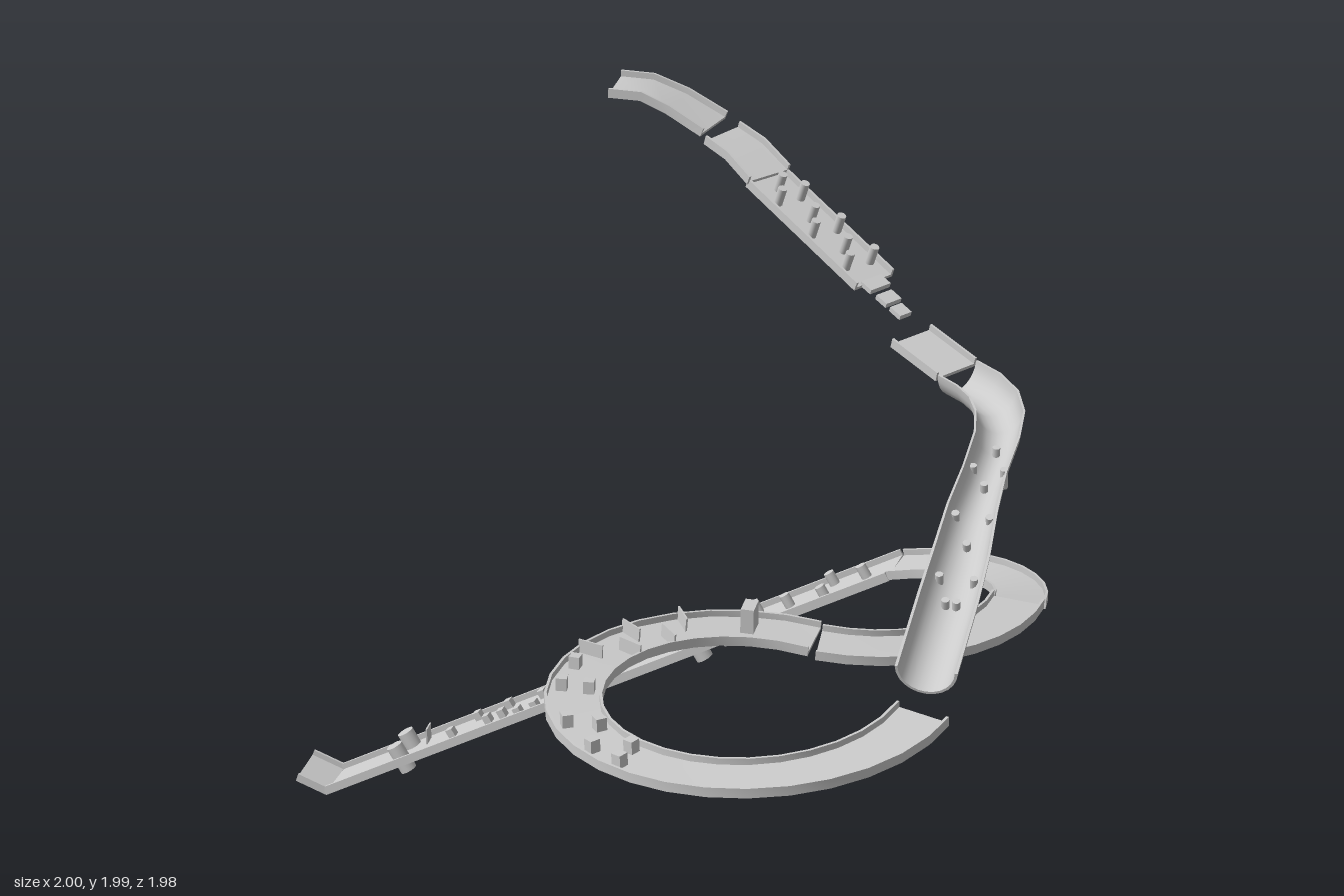
import * as THREE from 'three';
import { toCreasedNormals } from 'three/addons/utils/BufferGeometryUtils.js';

const mat = new THREE.MeshStandardMaterial({ color: 0xcccccc });
const rad = THREE.MathUtils.degToRad;
const vec = (a) => new THREE.Vector3(...a);

// Travel direction, level sideways axis and surface normal at a path point
function frame(path, i) {
  const a = path[Math.max(i - 1, 0)], b = path[Math.min(i + 1, path.length - 1)];
  const dir = b.clone().sub(a).normalize();
  const side = new THREE.Vector3(-dir.z, 0, dir.x).normalize();
  const up = side.clone().cross(dir);
  return { dir, side, up };
}

// Sweeps a closed counter-clockwise profile along a path, with end caps
function sweep(path, profile, scales) {
  const rings = path.map((p, i) => {
    const f = frame(path, i), s = scales ? scales[i] : 1;
    return profile.map(([u, v]) => p.clone().addScaledVector(f.side, u * s).addScaledVector(f.up, v));
  });
  const pos = [];
  const tri = (...pts) => pts.forEach((p) => pos.push(p.x, p.y, p.z));
  const n = profile.length;
  for (let i = 0; i < path.length - 1; i++) {
    for (let j = 0; j < n; j++) {
      const k = (j + 1) % n, [r, q] = [rings[i], rings[i + 1]];
      tri(r[j], q[j], r[k]);
      tri(r[k], q[j], q[k]);
    }
  }
  const first = rings[0], last = rings[rings.length - 1];
  const outline = profile.map(([u, v]) => new THREE.Vector2(u, v));
  for (const [a, b, c] of THREE.ShapeUtils.triangulateShape(outline, [])) {
    tri(first[a], first[b], first[c]);
    tri(last[a], last[c], last[b]);
  }
  const g = new THREE.BufferGeometry();
  g.setAttribute('position', new THREE.Float32BufferAttribute(pos, 3));
  return toCreasedNormals(g, 0.45);
}

// Shallow channel: flat floor with two low rims
function channelProfile(w, rim = 0.013) {
  const h = w / 2, t = 0.006, f = -0.002, b = -0.01;
  return [[-h, b], [h, b], [h, rim], [h - t, rim], [h - t, f], [-h + t, f], [-h + t, rim], [-h, rim]];
}

// Half-round gutter
function gutterProfile(r, t, n = 12) {
  const arc = (q) => Array.from({ length: n + 1 }, (_, i) => {
    const a = Math.PI + (Math.PI * i) / n;
    return [q * Math.cos(a), q * Math.sin(a)];
  });
  return [...arc(r), ...arc(r - t).reverse()];
}

// Level arc that drops evenly from y0 to y1
function arcPath(cx, cz, r, a0, a1, y0, y1, n) {
  return Array.from({ length: n + 1 }, (_, i) => {
    const a = rad(a0 + ((a1 - a0) * i) / n);
    return new THREE.Vector3(cx + r * Math.cos(a), y0 + ((y1 - y0) * i) / n, cz + r * Math.sin(a));
  });
}

export function createModel() {
  const root = new THREE.Group();
  root.name = 'marbleRun';

  const add = (name, geo) => {
    const m = new THREE.Mesh(geo, mat);
    m.name = name;
    root.add(m);
    return m;
  };
  const track = (name, path, w = 0.125) => add(name, sweep(path, channelProfile(w)));

  // Stands an obstacle on a path: t along it (0..1), s sideways, h above the floor
  const place = (name, geo, path, t, s, h) => {
    const x = t * (path.length - 1);
    const i = Math.min(Math.floor(x), path.length - 2);
    const { dir, side, up } = frame([path[i], path[i + 1]], 0);
    const m = add(name, geo);
    m.position.lerpVectors(path[i], path[i + 1], x - i).addScaledVector(side, s).addScaledVector(up, h);
    m.quaternion.setFromRotationMatrix(new THREE.Matrix4().makeBasis(side, up, dir.negate()));
  };

  // Upper tracks
  track('startPlatform', [[-0.205, 1.985, -0.932], [-0.125, 1.985, -0.932], [-0.05, 1.958, -0.93], [0.045, 1.92, -0.905]].map(vec));
  track('upperBend', [[0.065, 1.9, -0.905], [0.13, 1.88, -0.87], [0.2, 1.845, -0.815]].map(vec));
  const pegRamp = [[0.19, 1.835, -0.825], [0.5, 1.7, -0.61]].map(vec);
  track('pegRamp', pegRamp, 0.12);
  const rampPeg = new THREE.CylinderGeometry(0.011, 0.011, 0.055, 10);
  for (const [t, s] of [[0.12, 0], [0.22, 0.035], [0.24, -0.03], [0.42, 0], [0.53, 0.035], [0.56, -0.035], [0.72, 0], [0.84, 0.035], [0.86, -0.035]])
    place('rampPeg', rampPeg, pegRamp, t, s, 0.018);

  // Shrinking steps at the foot of the peg ramp
  [[0.505, 1.695, -0.6, 0.062], [0.543, 1.678, -0.567, 0.048], [0.577, 1.662, -0.54, 0.036]].forEach(([x, y, z, w]) => {
    const step = add('step', new THREE.BoxGeometry(0.036, 0.012, w));
    step.position.set(x, y, z);
    step.rotation.set(0, -0.61, -0.3, 'YXZ');
  });
  track('landingPlatform', [[0.607, 1.61, -0.525], [0.73, 1.58, -0.437]].map(vec));

  // Half-round gutter
  const gutter = [
    [0.735, 1.59, -0.43], [0.79, 1.587, -0.39], [0.835, 1.583, -0.335], [0.862, 1.577, -0.265], [0.873, 1.567, -0.17],
    [0.87, 1.545, -0.04], [0.868, 1.518, 0.09], [0.868, 1.47, 0.21], [0.868, 1.435, 0.35], [0.868, 1.385, 0.59],
  ].map(vec);
  const widths = [0.93, 0.93, 0.9, 0.85, 0.78, 0.75, 0.85, 0.95, 1, 1];
  add('gutter', sweep(gutter, gutterProfile(0.067, 0.006), widths));
  const gutterPeg = new THREE.CylinderGeometry(0.009, 0.009, 0.05, 10);
  for (const [t, sides] of [[0.44, [0]], [0.52, [-0.035, 0.035]], [0.56, [0]], [0.67, [-0.038, 0.038]], [0.73, [0]], [0.82, [-0.038, 0.038]], [0.87, [-0.012, 0.012]]])
    for (const s of sides) place('gutterPeg', gutterPeg, gutter, t, s, -0.064 + s * s * 9);

  // Large loop, then two halves of the return bend
  const loop = arcPath(0.49, 0.53, 0.39, 13, 277, 1.295, 1.165, 24);
  track('loop', loop);
  track('returnBendUpper', arcPath(0.545, -0.255, 0.385, 90, 2, 1.15, 1.115, 9));
  track('returnBendLower', arcPath(0.545, -0.255, 0.385, 0, -86, 1.1, 0.945, 9));

  // Square posts and thin fins around the loop
  const post = new THREE.BoxGeometry(0.024, 0.03, 0.024);
  for (const [x, z] of [[0.1, 0.47], [0.075, 0.578], [0.135, 0.578], [0.135, 0.743], [0.21, 0.743], [0.225, 0.83], [0.3, 0.83], [0.28, 0.905]]) {
    const a = THREE.MathUtils.radToDeg(Math.atan2(z - 0.53, x - 0.49));
    const t = ((a + 360) % 360 - 13) / 264;
    place('squarePost', post, loop, t, Math.hypot(x - 0.49, z - 0.53) - 0.39 > 0 ? -0.03 : 0.03, 0.012);
  }
  const fin = new THREE.BoxGeometry(0.06, 0.035, 0.004);
  [198, 207, 216, 225, 234].forEach((a, i) => place('fin', fin, loop, (a - 13) / 264, i % 2 ? 0.03 : -0.03, 0.012));
  const gate = add('gatePost', new THREE.BoxGeometry(0.03, 0.06, 0.05));
  gate.position.set(0.39, 1.205, 0.15);

  // Long straight ramp with an upturned end
  const ramp = [[0.57, 0.943, -0.64], [-0.92, 0.02, -0.78]].map(vec);
  track('longRamp', ramp, 0.13);
  track('endStop', [[-0.915, 0.02, -0.78], [-1, 0.05, -0.782]].map(vec), 0.13);
  const along = (x) => (0.57 - x) / 1.49;

  const bumper = new THREE.CylinderGeometry(0.022, 0.022, 0.075, 16);
  for (const [x, s] of [[-0.71, 0.037], [-0.71, -0.037], [0.09, 0.042], [0.145, 0], [0.09, -0.042]])
    place('bumper', bumper, ramp, along(x), s, 0.004);

  const stud = new THREE.CylinderGeometry(0.013, 0.013, 0.035, 12);
  for (const [x, sides] of [[0.22, [-0.037, 0.037]], [0.31, [0]], [0.41, [-0.037, 0.037]], [0.5, [0]]])
    for (const s of sides) place('stud', stud, ramp, along(x), s, 0.014);

  const block = new THREE.BoxGeometry(0.02, 0.024, 0.02);
  for (const [x, s] of [[-0.58, -0.005], [-0.525, 0.045], [-0.48, -0.005], [-0.44, 0.045], [-0.44, -0.005], [-0.385, -0.035], [-0.34, 0.025], [-0.34, -0.035], [-0.285, 0], [-0.23, -0.035]])
    place('block', block, ramp, along(x), s, 0.008);

  const pin = add('thinPlate', new THREE.BoxGeometry(0.004, 0.045, 0.035));
  pin.position.set(-0.652, 0.215, -0.758);

  return root;
}
